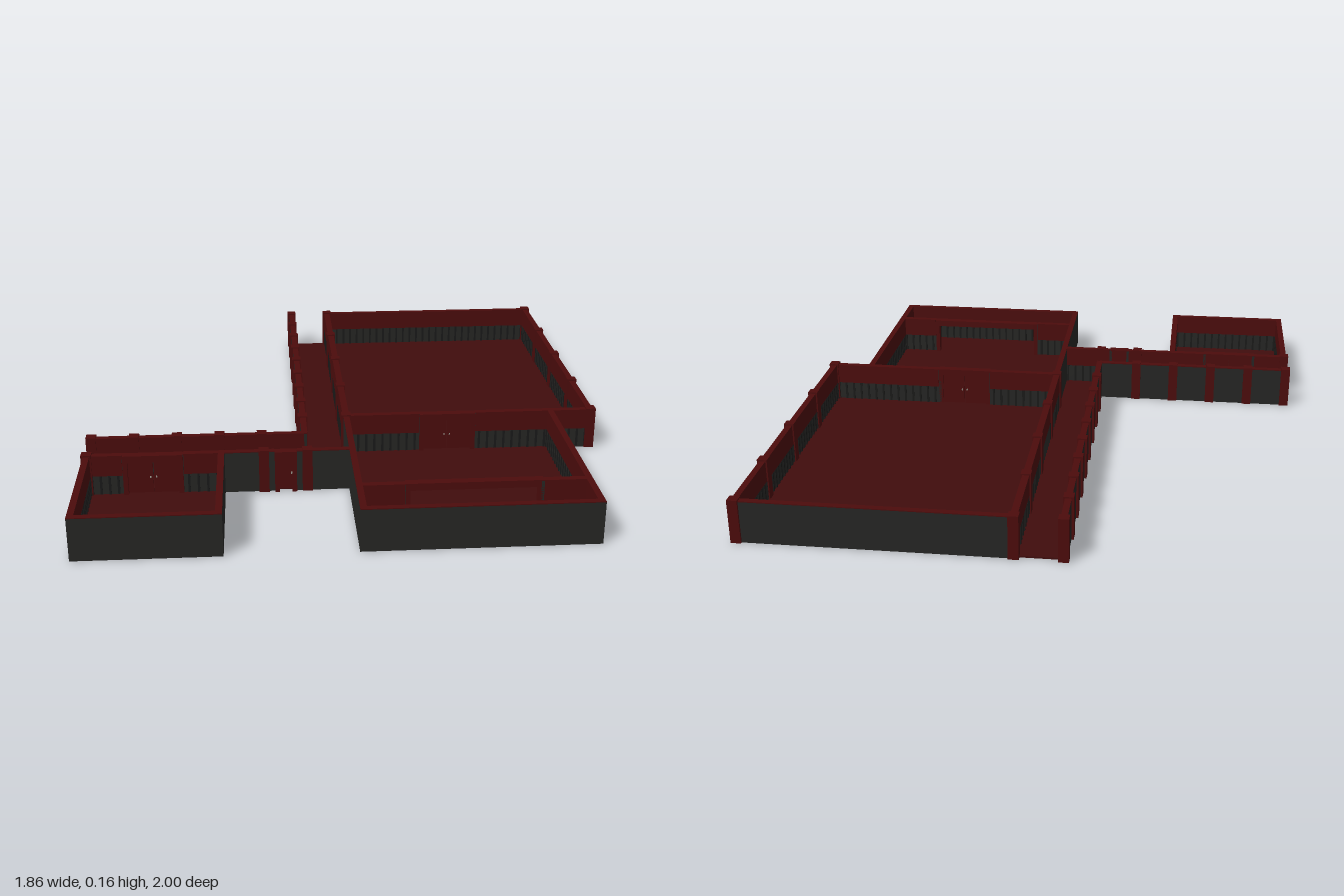
import * as THREE from 'three';

const H = 0.15, T = 0.02, FLOOR = 0.006, DOOR_H = 0.125, DADO = 0.075;
const mat = (color) => new THREE.MeshStandardMaterial({ color });
const RED = mat(0x4c0c0c), FLOOR_RED = mat(0x400d0d), DARK = mat(0x262624), BATTEN = mat(0x1a1a19), METAL = mat(0x9a9a90);

function box(parent, name, material, sx, sy, sz, x, y, z) {
  const m = new THREE.Mesh(new THREE.BoxGeometry(sx, sy, sz), material);
  m.name = name;
  m.position.set(x, y, z);
  parent.add(m);
  return m;
}

// Axis-aligned wall. sides: which faces (+1 / -1 along the world normal) are panelled.
// doors: {a, b, leaves, bump}, a and b along the wall's world axis.
function wall(parent, name, x0, z0, x1, z1, sides, doors = []) {
  const alongX = z0 === z1;
  const start = alongX ? x0 : z0, end = alongX ? x1 : z1;
  const g = new THREE.Group();
  g.name = name;
  if (alongX) g.position.z = z0;
  else {
    g.position.x = x0;
    g.rotation.y = -Math.PI / 2; // local x runs along world z
  }
  const flip = alongX ? 1 : -1;
  const segment = (a, b) => {
    const c = (a + b) / 2, len = b - a;
    box(g, 'wallCore', DARK, len, H - 0.003, T, c, (H - 0.003) / 2, 0);
    box(g, 'wallCap', RED, len, 0.003, T, c, H - 0.0015, 0);
    for (const side of sides) {
      const s = side * flip, panel = len - T;
      if (panel <= 0.01) continue;
      box(g, 'upperPanel', RED, panel, H - DADO, 0.003, c, (H + DADO) / 2, s * (T / 2 + 0.0005));
      // Vertical battens over the dark lower half
      const n = Math.max(1, Math.round(panel / 0.03));
      for (let i = 0; i < n; i++) {
        box(g, 'batten', BATTEN, 0.008, DADO - FLOOR, 0.004,
          c - panel / 2 + (i + 0.5) * panel / n, (DADO + FLOOR) / 2, s * (T / 2 + 0.001));
      }
    }
  };
  let from = start - T / 2;
  for (const d of doors) {
    segment(from, d.a);
    from = d.b;
    const c = (d.a + d.b) / 2, w = d.b - d.a, shift = d.bump * flip * 0.005;
    // Frame: lintel and two posts, standing proud on one side
    box(g, 'doorLintel', RED, w, H - DOOR_H, T + 0.01, c, (H + DOOR_H) / 2, shift);
    for (const x of [d.a, d.b]) box(g, 'doorPost', RED, 0.016, H, T + 0.01, x, H / 2, shift);
    // Leaves with small handles
    for (let i = 0; i < d.leaves; i++) {
      const lw = w / d.leaves, lx = d.a + lw * (i + 0.5);
      box(g, 'doorLeaf', RED, lw - 0.003, DOOR_H - FLOOR, 0.008, lx, (DOOR_H + FLOOR) / 2, 0);
      const hx = lx + (i === 0 ? 1 : -1) * (lw / 2 - 0.01);
      for (const s of [-1, 1]) box(g, 'doorHandle', METAL, 0.004, 0.006, 0.004, hx, 0.065, s * 0.006);
    }
  }
  segment(from, end + T / 2);
  parent.add(g);
}

export function createModel() {
  const root = new THREE.Group();
  root.name = 'floorPlan';

  // Floors
  const floor = (name, x0, z0, x1, z1) =>
    box(root, name, FLOOR_RED, x1 - x0, FLOOR, z1 - z0, (x0 + x1) / 2, FLOOR / 2, (z0 + z1) / 2);
  floor('hallFloor', 0, -0.98, 0.91, 0.23);
  floor('southRoomFloor', 0, 0.23, 0.76, 0.99);
  floor('longCorridorFloor', -0.16, -0.98, 0, 0.38);
  floor('crossCorridorFloor', -0.91, 0.38, 0, 0.53);
  floor('smallRoomFloor', -0.91, 0.53, -0.45, 0.99);

  // Large hall
  wall(root, 'hallNorthWall', 0, -0.98, 0.91, -0.98, [1]);
  wall(root, 'hallEastWall', 0.91, -0.98, 0.91, 0.23, [-1]);
  wall(root, 'hallWestWall', 0, -0.98, 0, 0.23, [1, -1]);
  wall(root, 'hallSouthWall', 0, 0.23, 0.91, 0.23, [1, -1], [{ a: 0.28, b: 0.47, leaves: 2, bump: 1 }]);

  // South room with its partition
  wall(root, 'southRoomWestWall', 0, 0.23, 0, 0.99, [1]);
  wall(root, 'southRoomEastWall', 0.76, 0.23, 0.76, 0.99, [-1]);
  wall(root, 'southRoomFrontWall', 0, 0.99, 0.76, 0.99, [-1]);
  wall(root, 'southRoomPartition', 0, 0.82, 0.76, 0.82, [1, -1], [{ a: 0.16, b: 0.6, leaves: 0, bump: -1 }]);

  // Corridors, open at their far ends
  wall(root, 'longCorridorWestWall', -0.16, -0.98, -0.16, 0.38, [1]);
  wall(root, 'crossCorridorNorthWall', -0.91, 0.38, -0.16, 0.38, [1]);
  wall(root, 'crossCorridorSouthWall', -0.45, 0.53, 0, 0.53, [-1], [{ a: -0.26, b: -0.2, leaves: 1, bump: 1 }]);

  // Small room
  wall(root, 'smallRoomNorthWall', -0.91, 0.53, -0.45, 0.53, [1, -1], [{ a: -0.78, b: -0.59, leaves: 2, bump: 1 }]);
  wall(root, 'smallRoomWestWall', -0.91, 0.53, -0.91, 0.99, [1]);
  wall(root, 'smallRoomEastWall', -0.45, 0.53, -0.45, 0.99, [-1]);
  wall(root, 'smallRoomFrontWall', -0.91, 0.99, -0.45, 0.99, [-1]);

  // Pillars along the walls
  const pillar = (x, z) => box(root, 'pillar', RED, 0.035, 0.155, 0.035, x, 0.0775, z);
  for (let i = 0; i < 5; i++) {
    const z = -0.98 + i * 0.3025;
    pillar(0, z);
    pillar(0.91, z);
    pillar(-0.91 + i * 0.15, 0.38);
  }
  for (let i = 0; i < 9; i++) pillar(-0.16, -0.98 + i * 0.15125);
  for (const x of [-0.91, -0.305, -0.155]) pillar(x, 0.53);

  return root;
}
